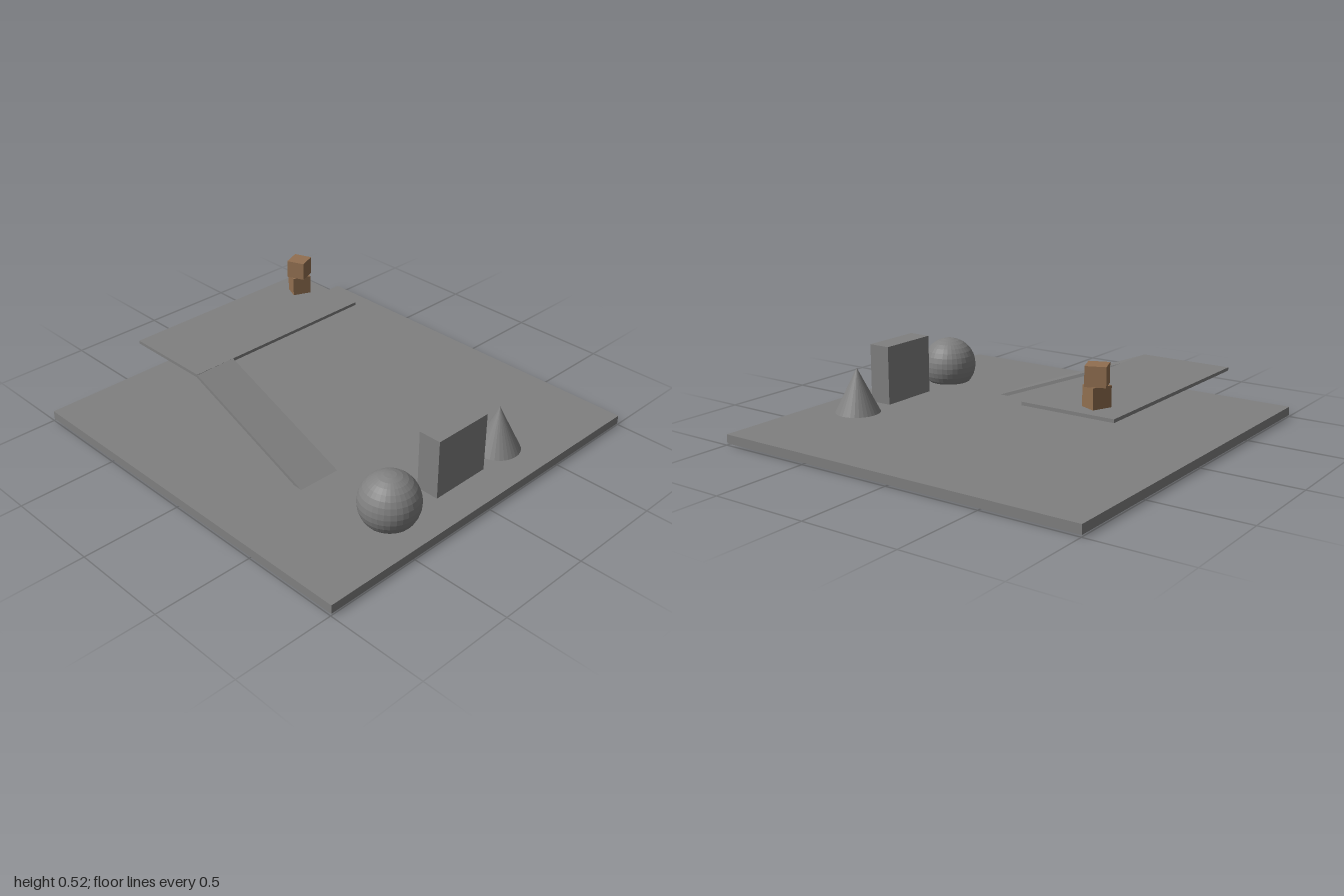
import * as THREE from 'three';

export function createModel() {
  const root = new THREE.Group();
  const gray = new THREE.MeshStandardMaterial({ color: 0x808080, flatShading: true });
  gray.name = 'plain gray';
  const brown = new THREE.MeshStandardMaterial({ color: 0x916f50, flatShading: true });
  brown.name = 'crate brown';

  const add = (name, geometry, material, x, y, z, turn = 0) => {
    const mesh = new THREE.Mesh(geometry, material);
    mesh.name = name;
    mesh.position.set(x, y, z);
    mesh.rotation.y = turn;
    root.add(mesh);
    return mesh;
  };
  // Box given by its lower and upper corners
  const block = (name, [x0, y0, z0], [x1, y1, z1]) =>
    add(name, new THREE.BoxGeometry(x1 - x0, y1 - y0, z1 - z0), gray,
      (x0 + x1) / 2, (y0 + y1) / 2, (z0 + z1) / 2);

  const floorTop = 0.053, deckTop = 0.336;

  // Floor slab and raised deck
  block('floor', [-1, 0.008, -0.996], [1, floorTop, 0.996]);
  block('deck', [-0.862, 0.32, -0.538], [-0.395, deckTop, 0.541]);

  // Ramp: sloped slab profile, extruded across and turned very slightly
  const profile = new THREE.Shape([
    new THREE.Vector2(0, 0), new THREE.Vector2(0, -0.017),
    new THREE.Vector2(0.71, deckTop - 0.6 + 0), new THREE.Vector2(0.75, floorTop - deckTop),
  ]);
  profile.curves[1].v2.y = profile.curves[2].v1.y = floorTop - deckTop - 0.003;
  const ramp = new THREE.ExtrudeGeometry(profile, { depth: 0.224, bevelEnabled: false });
  add('ramp', ramp, gray, -0.395, deckTop, 0.317, -0.021);

  // Solids standing on the floor
  block('wallBlock', [0.705, floorTop, -0.162], [0.824, 0.359, 0.164]);
  add('ball', new THREE.SphereGeometry(0.146, 32, 16), gray, 0.77, 0.146, 0.42);
  add('cone', new THREE.ConeGeometry(0.115, 0.23, 32), gray, 0.752, floorTop + 0.115, -0.348);

  // Two stacked crates, each turned its own way
  add('lowerCrate', new THREE.BoxGeometry(0.08, 0.097, 0.097), brown,
    -0.703, deckTop + 0.0485, -0.416, -0.4);
  add('upperCrate', new THREE.BoxGeometry(0.095, 0.092, 0.097), brown,
    -0.703, deckTop + 0.143, -0.416, 0.38);

  return root;
}
